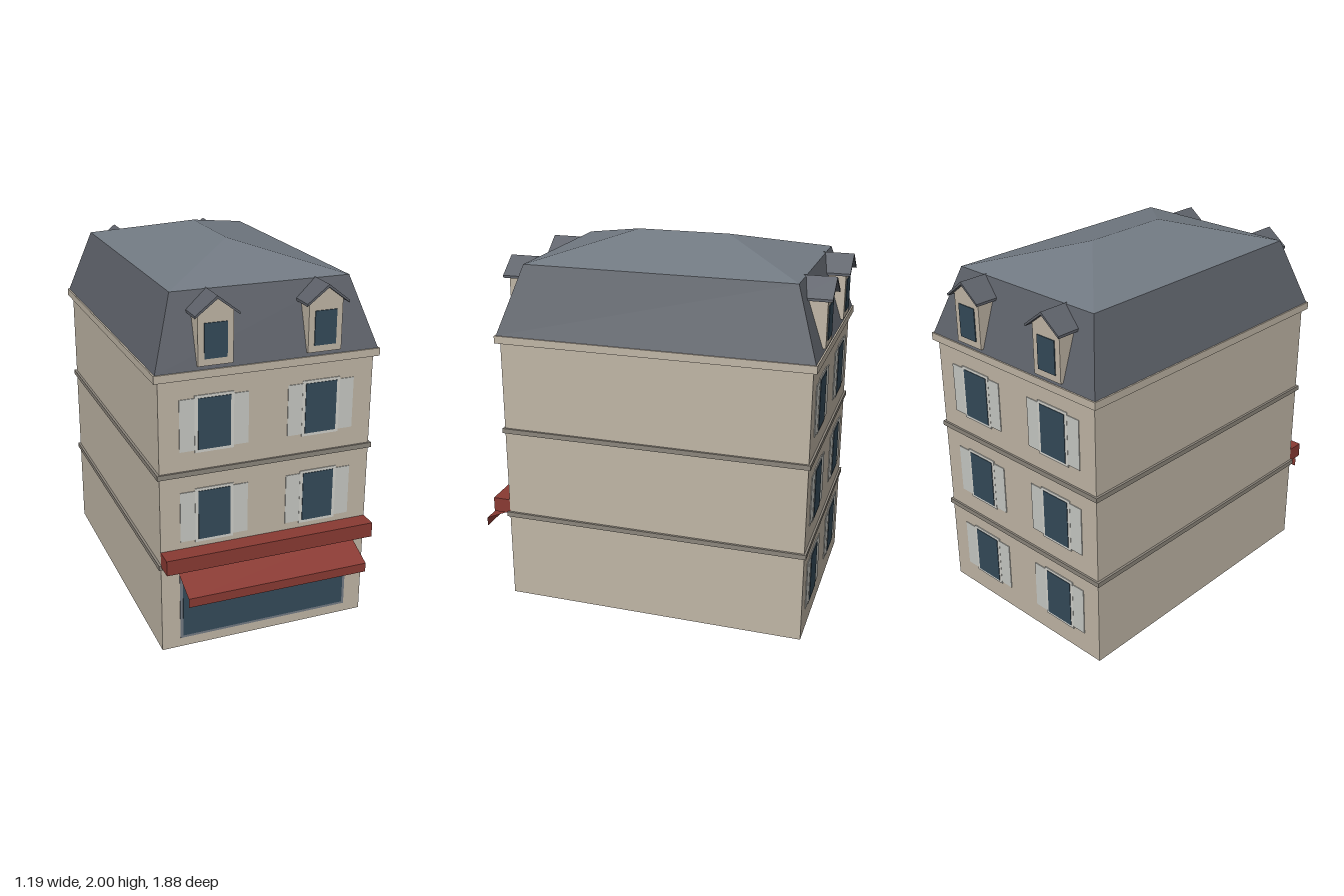
import * as THREE from 'three';

const mat = (name, color, side = THREE.FrontSide) => {
  const m = new THREE.MeshStandardMaterial({ color, side });
  m.name = name;
  return m;
};

export function createModel() {
  const stone = mat('stone', 0xc0b6a6, THREE.DoubleSide);
  const bandGrey = mat('band grey', 0x8c867c);
  const slate = mat('dark slate', 0x5d6169);
  const roofGrey = mat('roof grey', 0x727a83);
  const glass = mat('glass', 0x344a59);
  const trim = mat('window trim', 0xd0d0ca);
  const shutterMat = mat('shutter', 0xc7c9c4);
  const red = mat('awning red', 0x893a33, THREE.DoubleSide);

  const model = new THREE.Group();
  model.name = 'townhouse';
  const house = new THREE.Group();
  house.name = 'house';
  house.position.z = -0.073;
  model.add(house);

  const add = (parent, name, geometry, material) => {
    const m = new THREE.Mesh(geometry, material);
    m.name = name;
    parent.add(m);
    return m;
  };
  // Box given by its limits on each axis
  const box = (parent, name, material, x0, x1, y0, y1, z0, z1) => {
    const g = new THREE.BoxGeometry(x1 - x0, y1 - y0, z1 - z0);
    g.translate((x0 + x1) / 2, (y0 + y1) / 2, (z0 + z1) / 2);
    return add(parent, name, g, material);
  };
  // Flat faces from corner loops (counter-clockwise from outside)
  const faces = (loops) => {
    const p = [];
    for (const l of loops)
      for (let i = 1; i < l.length - 1; i++) p.push(...l[0], ...l[i], ...l[i + 1]);
    const g = new THREE.BufferGeometry();
    g.setAttribute('position', new THREE.Float32BufferAttribute(p, 3));
    g.computeVertexNormals();
    return g;
  };
  const ring = (x, y, z) => [[-x, y, z], [x, y, z], [x, y, -z], [-x, y, -z]];
  const sides = (a, b) => a.map((_, i) => {
    const j = (i + 1) % 4;
    return [a[i], a[j], b[j], b[i]];
  });
  const extrude = (points, z0, z1) => {
    const shape = new THREE.Shape(points.map(([x, y]) => new THREE.Vector2(x, y)));
    const g = new THREE.ExtrudeGeometry(shape, { depth: z1 - z0, bevelEnabled: false });
    return g.translate(0, 0, z0);
  };

  // Walls, open at the bottom; floor bands run right through
  const W = 0.57, D = 0.82;
  add(house, 'walls', faces(sides(ring(W, 0, D), ring(W, 1.48, D))), stone);
  for (const y of [0.478, 0.972])
    box(house, 'floorBand', bandGrey, -0.583, 0.583, y, y + 0.026, -0.831, 0.831);
  box(house, 'cornice', stone, -0.595, 0.595, 1.475, 1.515, -0.842, 0.842);

  // Steep lower roof and shallow hipped top
  const eaves = ring(0.587, 1.515, 0.834), brk = ring(0.47, 1.873, 0.714);
  add(house, 'mansard', faces(sides(eaves, brk)), slate);
  const rf = [0, 2, 0.248], rb = [0, 2, -0.248];
  const [fl, fr, br, bl] = brk;
  add(house, 'hippedRoof', faces([[fl, fr, rf], [fr, br, rb, rf], [br, bl, rb], [bl, fl, rf, rb]]), roofGrey);

  // Window with trim and a pair of shutters
  const windowUnit = (parent, cx, cy) => {
    const g = new THREE.Group();
    g.name = 'window';
    g.position.set(cx, cy, D);
    parent.add(g);
    box(g, 'windowTrim', trim, -0.102, 0.102, -0.148, 0.148, 0, 0.005);
    box(g, 'windowGlass', glass, -0.085, 0.085, -0.133, 0.133, 0, 0.008);
    for (const s of [-1, 1])
      box(g, 'shutter', shutterMat, s * 0.141 - 0.039, s * 0.141 + 0.039, -0.135, 0.135, 0, 0.004);
  };

  // Dormer with gabled front and a thin pitched roof
  const dormer = (parent, cx) => {
    const g = new THREE.Group();
    g.name = 'dormer';
    g.position.x = cx;
    parent.add(g);
    const body = [[-0.09, 1.535], [0.09, 1.535], [0.09, 1.794], [0, 1.863], [-0.09, 1.794]];
    add(g, 'dormerBody', extrude(body, 0.6, 0.842), stone);
    const roof = [[-0.113, 1.776], [0, 1.862], [0.113, 1.776], [0.113, 1.789], [0, 1.877], [-0.113, 1.789]];
    add(g, 'dormerRoof', extrude(roof, 0.695, 0.868), slate);
    box(g, 'dormerGlass', glass, -0.058, 0.058, 1.57, 1.745, 0.842, 0.847);
  };

  // Front and back facades; the back also has ground floor windows
  for (const back of [false, true]) {
    const facade = new THREE.Group();
    facade.name = back ? 'backFacade' : 'frontFacade';
    if (back) facade.rotation.y = Math.PI;
    house.add(facade);
    for (const x of [-0.285, 0.285]) {
      for (const y of back ? [0.259, 0.748, 1.237] : [0.748, 1.237]) windowUnit(facade, x, y);
      dormer(facade, x);
    }
  }

  // Shop front: window, sign board and awning
  box(house, 'shopWindowFrame', roofGrey, -0.472, 0.472, 0.052, 0.44, D, D + 0.004);
  box(house, 'shopWindowGlass', glass, -0.457, 0.457, 0.067, 0.425, D, D + 0.008);
  box(house, 'signBoard', red, -W, W, 0.492, 0.573, D, 0.915);
  const aw = (y, z) => [[-0.49, y, z], [0.49, y, z]];
  const [t0, t1] = aw(0.478, D), [m0, m1] = aw(0.397, 1.008), [b0, b1] = aw(0.348, 1.008);
  add(house, 'awning', faces([[m0, m1, t1, t0], [b0, b1, m1, m0]]), red);

  return model;
}
